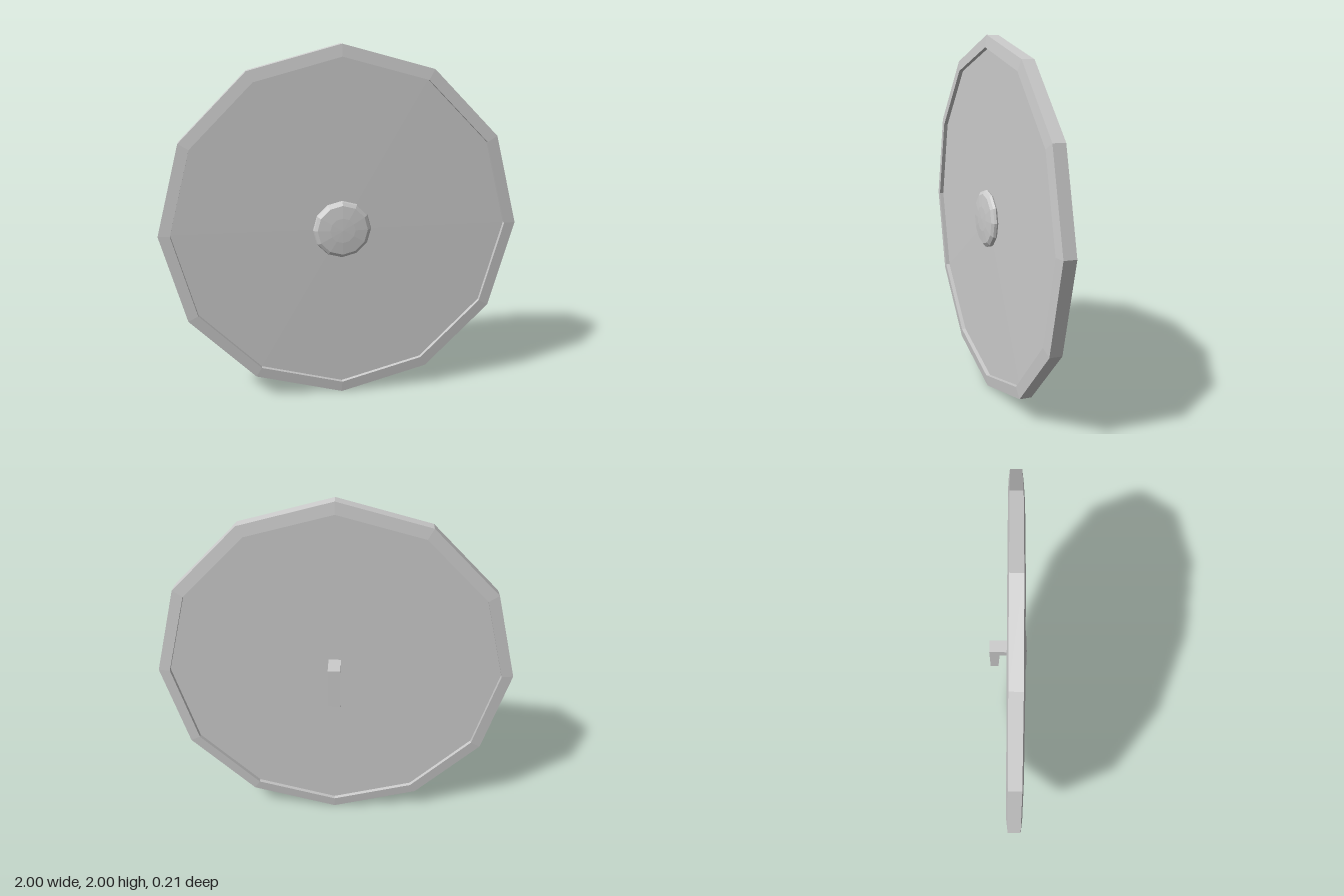
import * as THREE from 'three';

const SIDES = 12;
const material = new THREE.MeshStandardMaterial({ color: 0xcccccc, flatShading: true });

// Twelve-sided turned part; profile is [radius, z] running from back to front
function turned(name, profile) {
  const points = profile.map(([r, z]) => new THREE.Vector2(r, z));
  const geometry = new THREE.LatheGeometry(points, SIDES);
  geometry.rotateX(Math.PI / 2);
  const mesh = new THREE.Mesh(geometry, material);
  mesh.name = name;
  mesh.position.y = 1;
  return mesh;
}

export function createModel() {
  const shield = new THREE.Group();
  shield.name = 'roundShield';

  // Raised rim with slightly bevelled front and back faces
  shield.add(turned('rim', [
    [0.935, 0.018], [0.935, -0.005], [1, 0.003], [1, 0.07], [0.935, 0.078], [0.935, 0.055],
  ]));

  // Recessed panel: flat back, very shallow cone on the front
  shield.add(turned('panel', [[0, 0.018], [0.937, 0.018], [0.937, 0.055], [0, 0.062]]));

  // Domed boss in the middle of the front
  shield.add(turned('boss', [
    [0.155, 0.058], [0.163, 0.07], [0.158, 0.083], [0.14, 0.095], [0.07, 0.102], [0, 0.104],
  ]));

  // Hooked grip on the back: side outline [z, y], extruded across x
  const outline = [
    [0.025, 1.08], [-0.105, 1.08], [-0.102, 0.842], [-0.057, 0.842],
    [-0.048, 1.03], [-0.04, 1.03], [0.025, 1.023],
  ].map(([z, y]) => new THREE.Vector2(-z, y));
  const gripGeometry = new THREE.ExtrudeGeometry(new THREE.Shape(outline), {
    depth: 0.07, bevelEnabled: false,
  });
  gripGeometry.translate(0, 0, -0.035);
  gripGeometry.rotateY(Math.PI / 2);
  const grip = new THREE.Mesh(gripGeometry, material);
  grip.name = 'grip';
  shield.add(grip);

  return shield;
}
